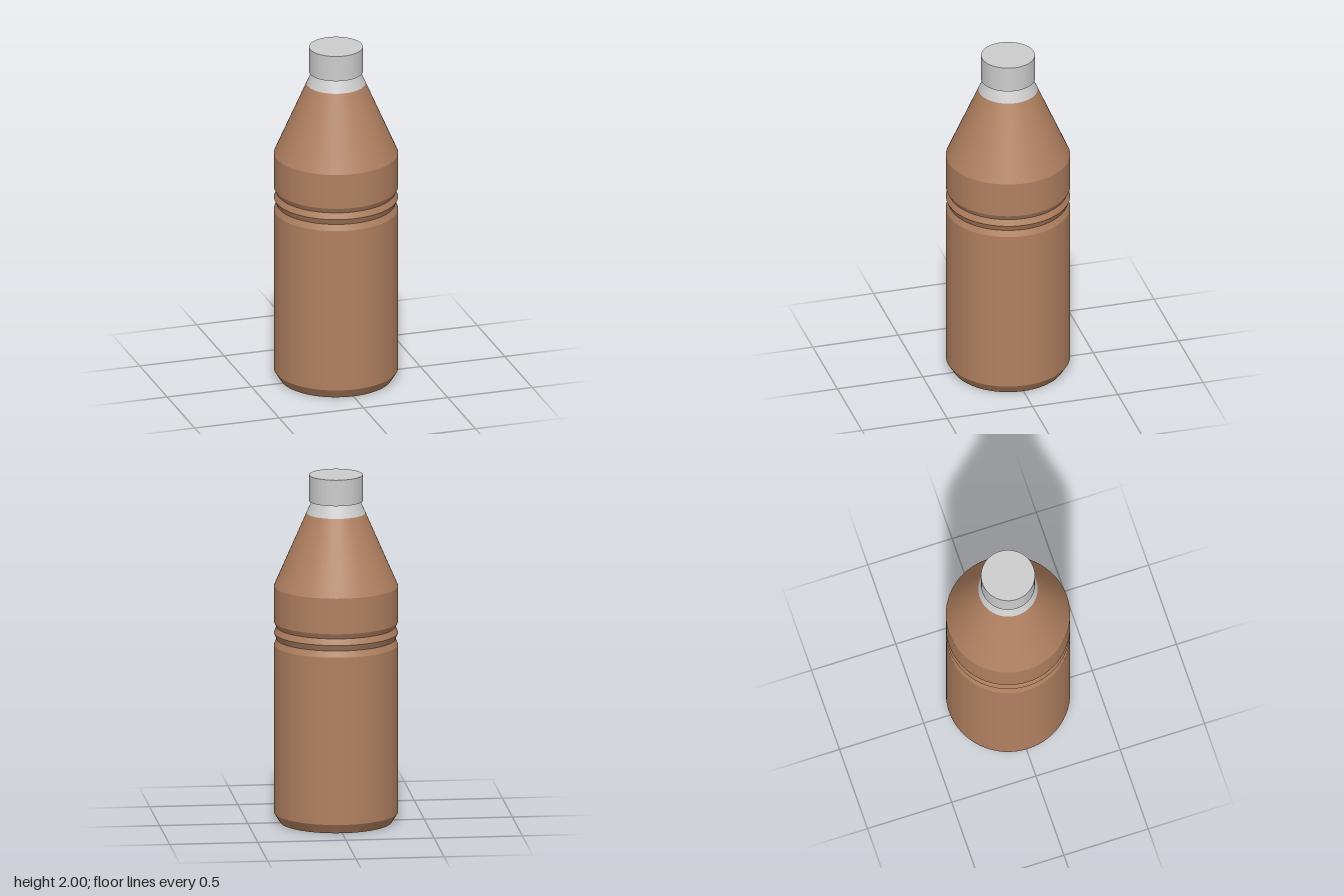
import * as THREE from 'three';
import { mergeGeometries } from 'three/addons/utils/BufferGeometryUtils.js';

const SEGMENTS = 64;

// Turned shell of [radius, y] points, with a crisp edge between bands
function turned(profile) {
  const bands = [];
  for (let i = 0; i < profile.length - 1; i++) {
    const pair = [profile[i], profile[i + 1]].map(([r, y]) => new THREE.Vector2(r, y));
    bands.push(new THREE.LatheGeometry(pair, SEGMENTS));
  }
  return mergeGeometries(bands);
}

export function createModel() {
  const brown = new THREE.MeshStandardMaterial({ name: 'brown', color: 0xb08060 });
  const grey = new THREE.MeshStandardMaterial({ name: 'lightGrey', color: 0xcccccc });

  const bottle = new THREE.Group();
  bottle.name = 'bottle';
  const add = (name, profile, material) => {
    const mesh = new THREE.Mesh(turned(profile), material);
    mesh.name = name;
    bottle.add(mesh);
  };

  // Body: closed base, chamfer, straight wall, two grip grooves, sloped shoulder
  add('body', [
    [0, 0], [0.315, 0], [0.35, 0.055],
    [0.35, 1.02], [0.335, 1.055], [0.35, 1.09], [0.335, 1.125], [0.35, 1.155],
    [0.35, 1.36], [0.167, 1.78],
  ], brown);

  // Neck: continues the shoulder slope up to the cap
  add('neck', [[0.167, 1.78], [0.136, 1.85]], grey);

  // Cap: closed cylinder overhanging the neck
  add('cap', [[0, 1.85], [0.152, 1.85], [0.152, 2], [0, 2]], grey);

  return bottle;
}
